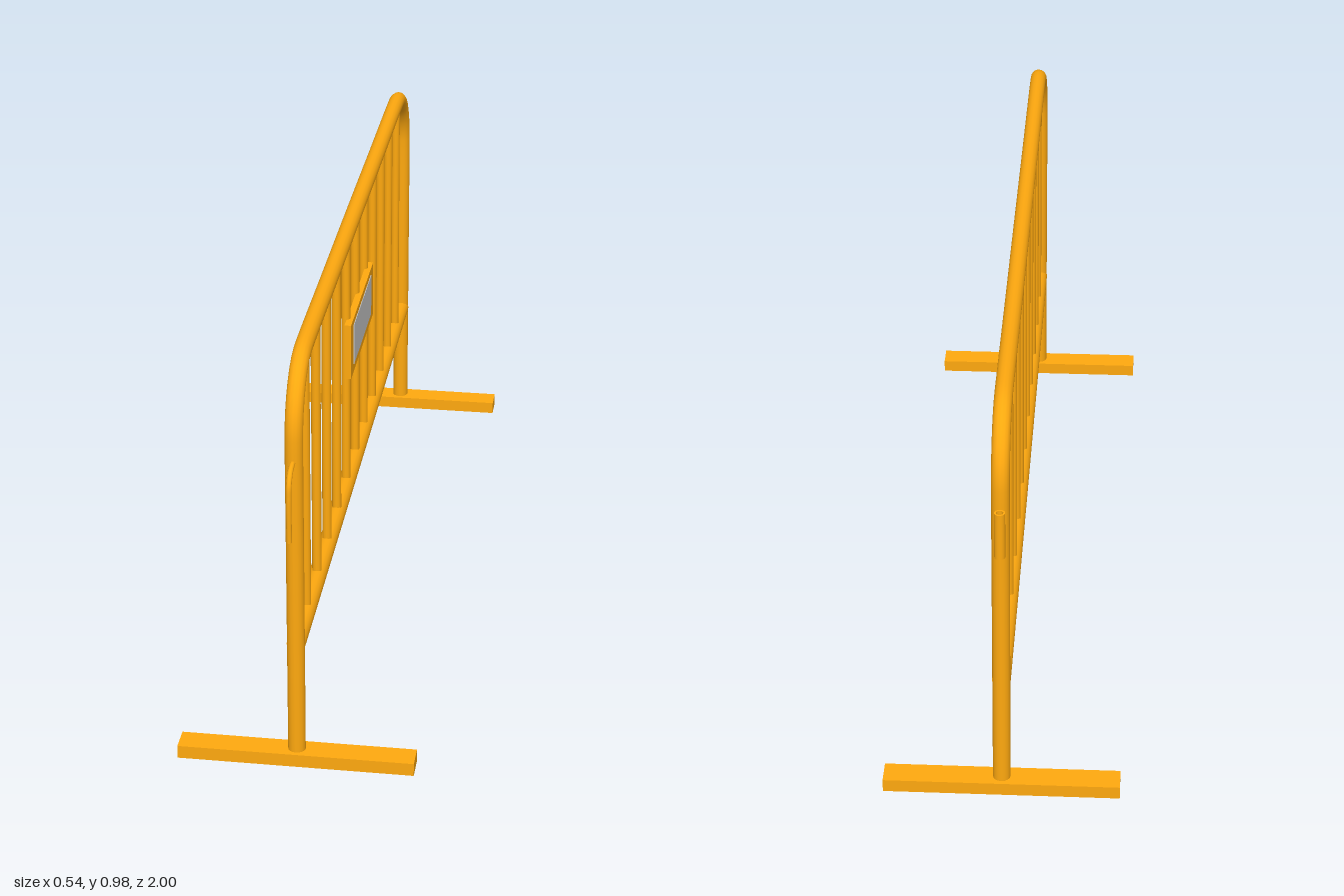
import * as THREE from 'three';

export function createModel() {
  const model = new THREE.Group();
  const paint = new THREE.MeshStandardMaterial({ color: 0xffa90f });
  const paintThin = new THREE.MeshStandardMaterial({ color: 0xffa90f, side: THREE.DoubleSide });
  const grey = new THREE.MeshStandardMaterial({ color: 0xcccccc });
  const v = (y, z) => new THREE.Vector3(0, y, z);
  const MID = -0.018;   // centre of the frame along z
  const HALF = 0.938;   // frame centre to post axis

  const add = (name, geometry, material, x = 0, y = 0, z = 0) => {
    const mesh = new THREE.Mesh(geometry, material);
    mesh.name = name;
    mesh.position.set(x, y, z);
    model.add(mesh);
    return mesh;
  };

  // Bent tube: two posts, rounded corners and the top rail
  const points = [v(0.02, HALF), v(0.3, HALF), v(0.55, HALF)];
  const corner = [];
  for (let i = 0; i <= 8; i++) {
    const a = (i / 8) * Math.PI / 2;
    corner.push(v(0.8 + 0.157 * Math.sin(a), HALF - 0.14 + 0.14 * Math.cos(a)));
  }
  points.push(...corner, v(0.958, 0.4));
  const mirrored = points.map(p => v(p.y, -p.z)).reverse();
  const path = new THREE.CurvePath();
  const all = [...points, v(0.959, 0), ...mirrored];
  for (let i = 1; i < all.length; i++) path.add(new THREE.LineCurve3(all[i - 1], all[i]));
  const smooth = new THREE.CatmullRomCurve3(all, false, 'centripetal');
  add('frameTube', new THREE.TubeGeometry(smooth, 120, 0.02, 16), paint, 0, 0, MID);

  // Lower rail
  const rail = add('lowerRail', new THREE.CylinderGeometry(0.021, 0.021, 2 * HALF, 16), paint, 0, 0.3, MID);
  rail.rotation.x = Math.PI / 2;

  // Upright bars
  for (let i = -5; i <= 5; i++) {
    add('uprightBar', new THREE.CylinderGeometry(0.011, 0.011, 0.65, 12), paint, 0, 0.625, MID + i * 0.1575);
  }

  // Flat feet across the posts
  for (const s of [1, -1]) {
    add('foot', new THREE.BoxGeometry(0.536, 0.031, 0.06), paint, 0, 0.0155, MID + s * HALF);
  }

  // Sign plate with a grey panel on its face
  add('signPlate', new THREE.BoxGeometry(0.016, 0.14, 0.395), paint, 0.011, 0.675, -0.014);
  add('signPanel', new THREE.BoxGeometry(0.004, 0.104, 0.305), grey, 0.0185, 0.677, -0.014);

  // Coupling hook on the front post
  const hookPath = new THREE.CatmullRomCurve3([
    v(0.756, 0.925), v(0.756, 0.95), v(0.749, 0.975), v(0.73, 0.99), v(0.7, 0.994), v(0.595, 0.994),
  ]);
  add('hook', new THREE.TubeGeometry(hookPath, 28, 0.006, 10), paint);
  const tip = add('hookTip', new THREE.CircleGeometry(0.006, 10), paint, 0, 0.595, 0.994);
  tip.rotation.x = Math.PI / 2;

  // Hollow sleeve on the rear post that takes a hook
  const sleeve = [[0.008, 0], [0.012, 0], [0.012, 0.113], [0.008, 0.113], [0.008, 0]];
  for (let i = 1; i < sleeve.length; i++) {
    const wall = [sleeve[i - 1], sleeve[i]].map(p => new THREE.Vector2(...p));
    add('hookSleeve', new THREE.LatheGeometry(wall, 16), paintThin, 0, 0.651, -0.988);
  }

  return model;
}
